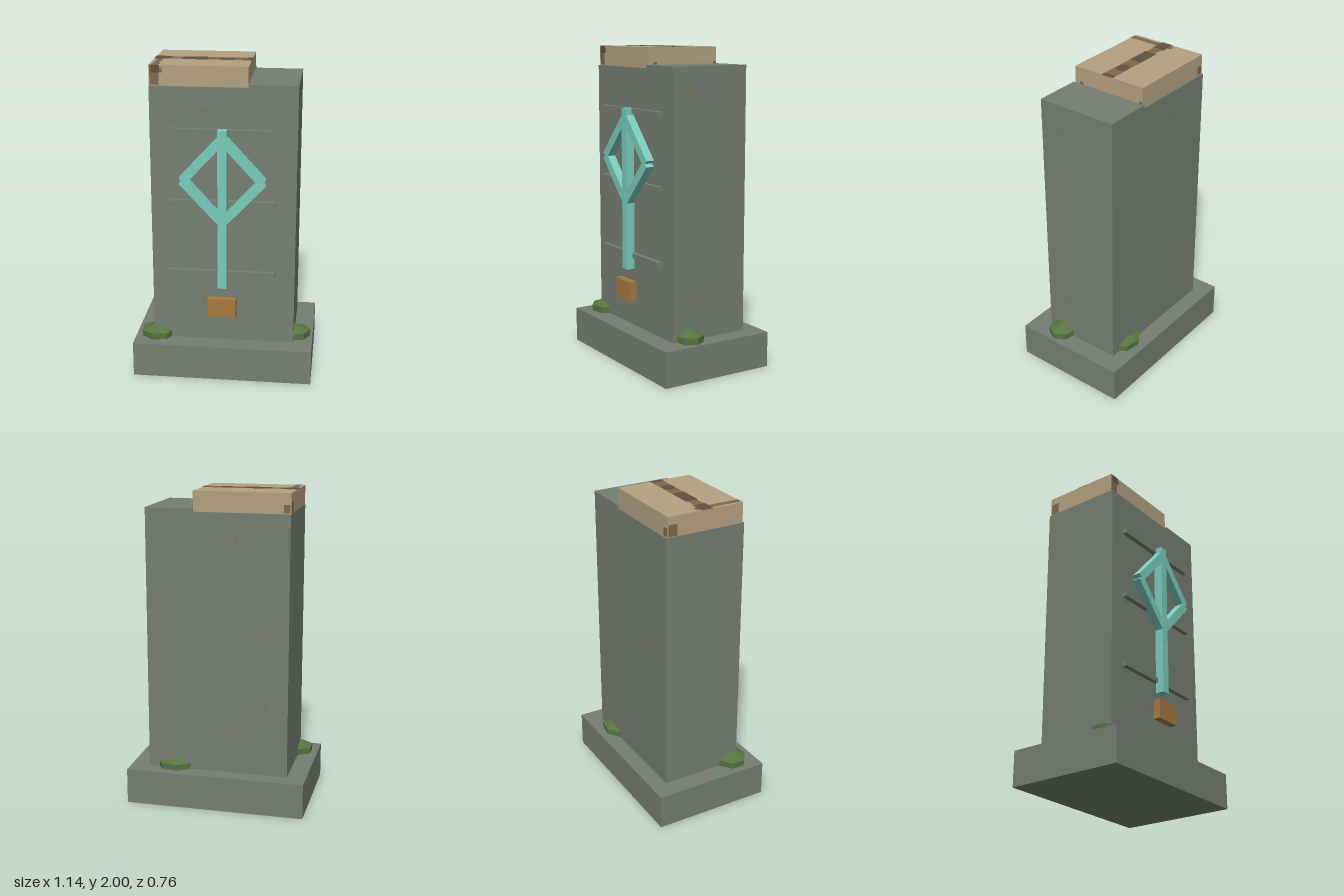
import * as THREE from 'three';

const mat = (name, color, extra = {}) => {
  const m = new THREE.MeshStandardMaterial({ color, ...extra });
  m.name = name;
  return m;
};

export function createModel() {
  const stone = mat('weathered stone', 0x767e72);
  const sand = mat('sandstone', 0xb3a180);
  const stain = mat('stain', 0x7d6a4e);
  const darkStain = mat('dark stain', 0x5f523e);
  const teal = mat('verdigris', 0x7accbc);
  const bronze = mat('bronze', 0xa67a40);
  const moss = mat('moss', 0x587640, { flatShading: true });
  const rust = mat('rust', 0x8a7048);

  const root = new THREE.Group();
  root.name = 'monument';

  const add = (name, geometry, material, parent = root) => {
    const mesh = new THREE.Mesh(geometry, material);
    mesh.name = name;
    parent.add(mesh);
    return mesh;
  };
  // box given by its minimum and maximum on each axis
  const box = (name, material, [x0, x1], [y0, y1], [z0, z1], parent) => {
    const mesh = add(name, new THREE.BoxGeometry(x1 - x0, y1 - y0, z1 - z0), material, parent);
    mesh.position.set((x0 + x1) / 2, (y0 + y1) / 2, (z0 + z1) / 2);
    return mesh;
  };
  const group = (name) => {
    const g = new THREE.Group();
    g.name = name;
    root.add(g);
    return g;
  };

  // plinth and upright slab, its top stepped down under the cap
  box('plinth', stone, [-0.57, 0.57], [0, 0.225], [-0.38, 0.38]);
  const outline = new THREE.Shape([
    [-0.45, 0.225], [0.45, 0.225], [0.45, 1.895], [0.15, 1.895], [0.15, 1.875], [-0.45, 1.875],
  ].map(([x, y]) => new THREE.Vector2(x, y)));
  const slab = add('slab', new THREE.ExtrudeGeometry(outline, { depth: 0.525, bevelEnabled: false }), stone);
  slab.position.z = -0.275;

  // cap block
  box('cap', sand, [-0.45, 0.15], [1.875, 2], [-0.263, 0.238]);

  // stains on the cap top
  const stains = group('capStains');
  const onTop = (material, x, z, lift) => box('topStain', material, x, [1.999, 2 + lift], z, stains);
  onTop(stain, [-0.45, -0.34], [-0.042, 0.037], 0.001);
  onTop(stain, [-0.34, -0.28], [-0.03, 0.03], 0.001);
  onTop(stain, [-0.28, 0.15], [-0.042, 0.037], 0.001);
  onTop(stain, [-0.43, -0.392], [0.037, 0.238], 0.001);
  onTop(stain, [-0.43, -0.392], [-0.065, -0.042], 0.001);
  onTop(darkStain, [-0.45, -0.358], [-0.042, 0.037], 0.002);
  onTop(darkStain, [-0.275, -0.122], [-0.042, 0.037], 0.002);
  onTop(darkStain, [0.12, 0.15], [-0.042, 0.037], 0.002);
  const blot = add('blot', new THREE.CylinderGeometry(0.045, 0.045, 0.003, 12), darkStain, stains);
  blot.position.set(0, 2.0005, -0.002);
  blot.scale.z = 0.86;

  // drips on the cap sides
  box('frontDrip', stain, [-0.445, -0.39], [1.88, 2], [0.237, 0.239], stains);
  box('frontDripTop', stain, [-0.39, -0.37], [1.955, 1.985], [0.237, 0.239], stains);
  box('frontDripDark', darkStain, [-0.435, -0.385], [1.955, 2], [0.237, 0.24], stains);
  box('backDrip', stain, [-0.445, -0.405], [1.88, 1.93], [-0.265, -0.262], stains);
  box('sideDrip', stain, [-0.452, -0.449], [1.88, 1.95], [-0.258, -0.2], stains);
  for (const z of [0.19, -0.25]) box('edgeDrip', stain, [0.149, 0.152], [1.895, 1.91], [z - 0.012, z + 0.012], stains);

  // horizontal mounting rails
  for (const y of [0.695, 1.16, 1.61]) {
    box('rail', stone, [-0.35, 0.325], [y - 0.015, y + 0.015], [0.255, 0.285]);
  }

  // emblem: a pole with a diamond of four bars
  const emblem = group('emblem');
  box('pole', teal, [-0.028, 0.028], [0.61, 1.627], [0.27, 0.325], emblem);
  for (const side of [-1, 1]) {
    for (const y of [1.575, 1.045]) {
      const a = new THREE.Vector2(0, y);
      const b = new THREE.Vector2(side * 0.245, 1.308);
      const d = b.clone().sub(a);
      const bar = add('diamondBar', new THREE.BoxGeometry(d.length(), 0.055, 0.053), teal, emblem);
      bar.position.set((a.x + b.x) / 2, (a.y + b.y) / 2, 0.2975);
      bar.rotation.z = Math.atan2(d.y, d.x);
    }
  }

  // small plaque
  box('plaque', bronze, [-0.09, 0.087], [0.418, 0.54], [0.292, 0.338]);

  // seven-sided moss clumps around the foot
  const profile = [[0.97, 0], [1, 0.042], [0, 0.081]].map(([x, y]) => new THREE.Vector2(x, y));
  for (const [x, z, rx, rz, h] of [
    [-0.43, 0.22, 0.11, 0.1, 1],
    [0.45, 0.14, 0.106, 0.09, 1.03],
    [0.285, -0.24, 0.12, 0.097, 0.95],
  ]) {
    const clump = add('mossClump', new THREE.LatheGeometry(profile, 7, Math.PI / 2), moss);
    clump.position.set(x, 0.225, z);
    clump.scale.set(rx, h, rz);
  }

  // rust specks on the slab faces and plinth
  const specks = group('rustSpecks');
  const s = 0.01;
  for (const [x, y] of [[-0.12, 1.73], [-0.28, 1.13], [-0.31, 0.66], [-0.12, 0.48]]) {
    for (const z of [0.25, -0.275]) {
      box('speck', rust, [x - s, x + s], [y - s, y + s], [z - 0.001, z + 0.001], specks);
    }
  }
  for (const y of [1.73, 0.48]) {
    box('speck', rust, [0.449, 0.451], [y - s, y + s], [0.12, 0.135], specks);
  }
  box('speck', rust, [-0.5, -0.475], [0.224, 0.226], [-0.015, 0.01], specks);
  box('mossSpeck', moss, [-0.33, -0.295], [1.128, 1.141], [0.249, 0.251], specks);

  return root;
}
